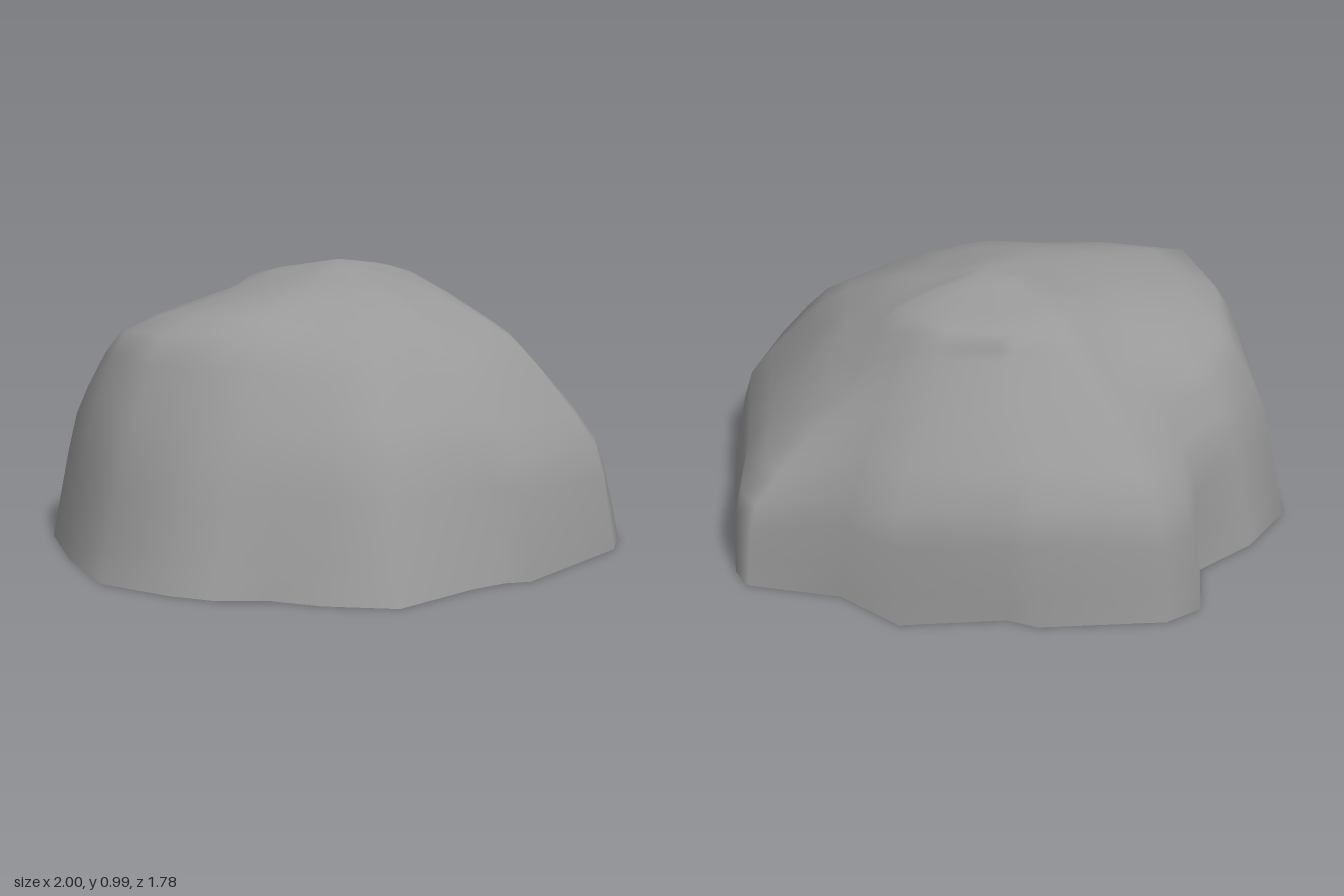
import * as THREE from 'three';

// Each rib: base x, z, then foot and shoulder as (share of the way out from the peak, height)
const RIBS = [
  [0.02, 0.89, 0.83, 0.45, 0.60, 0.74],
  [0.30, 0.73, 0.86, 0.44, 0.61, 0.75],
  [0.43, 0.68, 0.89, 0.43, 0.64, 0.73],
  [0.52, 0.68, 0.91, 0.41, 0.66, 0.72],
  [0.93, 0.35, 0.93, 0.37, 0.65, 0.72],
  [1.00, 0.20, 0.91, 0.37, 0.60, 0.74],
  [0.98, -0.10, 0.91, 0.37, 0.59, 0.75],
  [0.96, -0.30, 0.92, 0.35, 0.59, 0.74],
  [0.93, -0.56, 0.96, 0.33, 0.60, 0.65],
  [0.88, -0.64, 0.95, 0.31, 0.60, 0.64],
  [0.56, -0.71, 0.90, 0.38, 0.62, 0.78],
  [0.36, -0.87, 0.97, 0.43, 0.56, 0.85],
  [0.00, -0.85, 0.99, 0.43, 0.56, 0.83],
  [-0.10, -0.89, 0.96, 0.45, 0.55, 0.83],
  [-0.53, -0.87, 0.94, 0.40, 0.58, 0.77],
  [-0.65, -0.80, 0.91, 0.40, 0.60, 0.71],
  [-0.67, -0.58, 0.94, 0.40, 0.72, 0.70],
  [-0.86, -0.44, 0.91, 0.45, 0.76, 0.69],
  [-1.00, -0.25, 0.91, 0.45, 0.75, 0.75],
  [-0.97, 0.08, 0.92, 0.45, 0.78, 0.79],
  [-0.89, 0.41, 0.89, 0.42, 0.75, 0.81],
  [-0.68, 0.60, 0.85, 0.39, 0.66, 0.80],
  [-0.55, 0.68, 0.84, 0.41, 0.62, 0.79],
  [-0.37, 0.72, 0.86, 0.42, 0.62, 0.77],
  [-0.22, 0.81, 0.84, 0.44, 0.60, 0.75],
];
const PEAK = new THREE.Vector3(0.05, 0.99, -0.2);
const STEPS = 12;

// Heights of the crown around the peak, every 45 degrees from the front towards +x
const CROWN = [0.91, 0.89, 0.895, 0.93, 0.92, 0.92, 0.91, 0.92];
const CROWN_RADIUS = 0.34;

function crownHeight(angle) {
  const t = THREE.MathUtils.euclideanModulo(angle / (Math.PI / 4), 8);
  const i = Math.floor(t);
  const blend = THREE.MathUtils.smoothstep(t - i, 0, 1);
  return THREE.MathUtils.lerp(CROWN[i % 8], CROWN[(i + 1) % 8], blend);
}

function ribCurve([x, z, footR, footY, shoulderR, shoulderY]) {
  const dx = x - PEAK.x;
  const dz = z - PEAK.z;
  const at = (r, y) => new THREE.Vector3(PEAK.x + dx * r, y, PEAK.z + dz * r);
  const crown = at(CROWN_RADIUS / Math.hypot(dx, dz), crownHeight(Math.atan2(dx, dz)));
  return new THREE.CatmullRomCurve3(
    [at(1, 0), at(footR, footY), at(shoulderR, shoulderY), crown, PEAK.clone()],
    false, 'catmullrom', 0.25);
}

function rockGeometry() {
  const positions = [];
  const index = [];
  const count = RIBS.length;
  // Ribs from the ground up to just below the peak
  for (const rib of RIBS) {
    const curve = ribCurve(rib);
    for (let j = 0; j < STEPS; j++) positions.push(...curve.getPoint(j / STEPS).toArray());
  }
  const peak = count * STEPS;
  positions.push(...PEAK.toArray());
  // Skin between neighbouring ribs, closed by a fan at the peak
  for (let i = 0; i < count; i++) {
    const a = i * STEPS;
    const b = ((i + 1) % count) * STEPS;
    for (let j = 0; j < STEPS - 1; j++) {
      index.push(a + j, b + j, b + j + 1, a + j, b + j + 1, a + j + 1);
    }
    index.push(a + STEPS - 1, b + STEPS - 1, peak);
  }
  const geometry = new THREE.BufferGeometry();
  geometry.setAttribute('position', new THREE.Float32BufferAttribute(positions, 3));
  geometry.setIndex(index);
  geometry.computeVertexNormals();
  return geometry;
}

export function createModel() {
  const group = new THREE.Group();
  group.name = 'boulder';
  // Hollow shell, open underneath
  const rock = new THREE.Mesh(rockGeometry(),
    new THREE.MeshStandardMaterial({ color: 0x999999, side: THREE.DoubleSide }));
  rock.name = 'rockShell';
  group.add(rock);
  return group;
}
